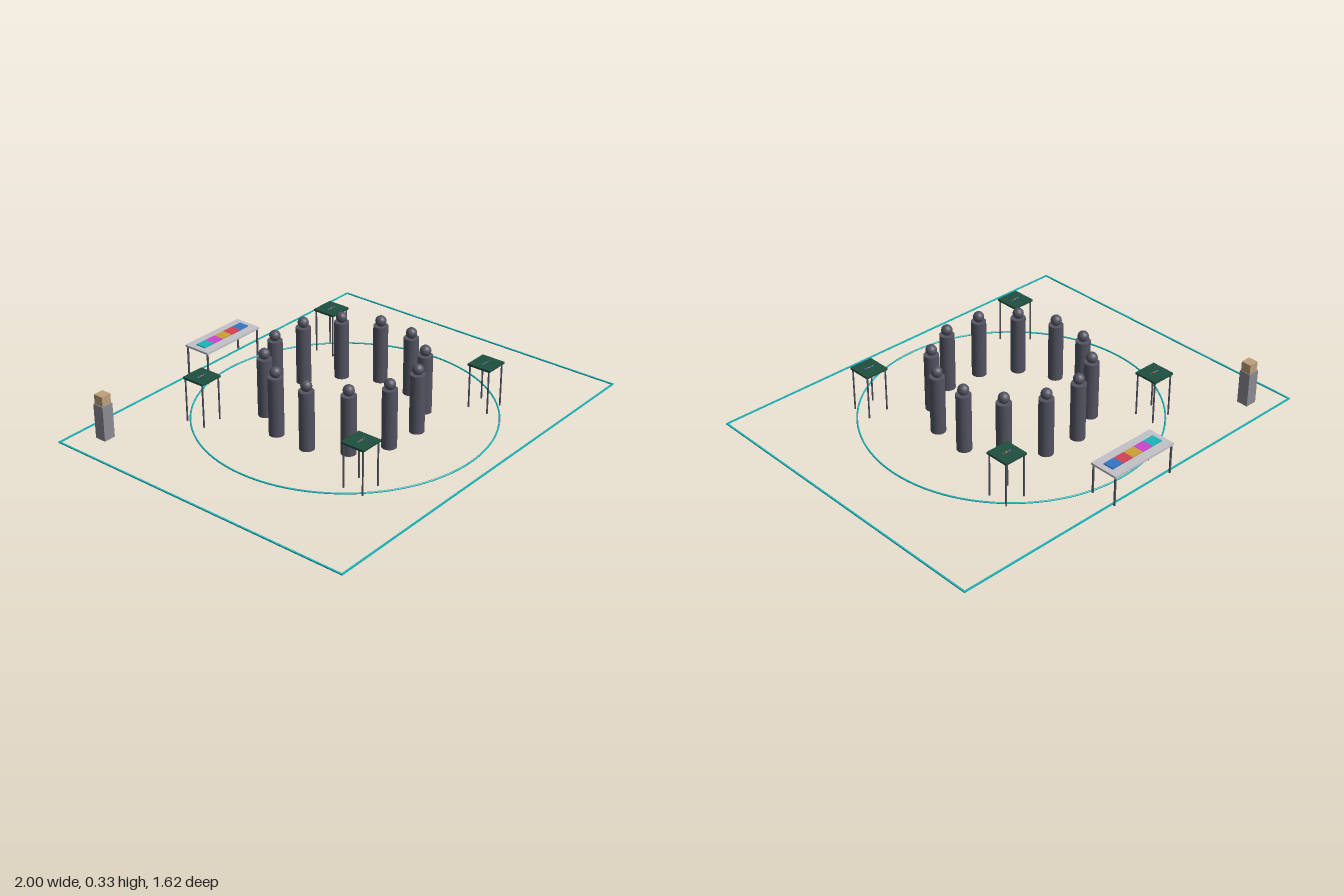
import * as THREE from 'three';

const paint = (name, color) => {
  const m = new THREE.MeshStandardMaterial({ color });
  m.name = name;
  return m;
};

export function createModel() {
  const cyan = paint('cyan', 0x1cb4ba);
  const slate = paint('slate', 0x535362);
  const green = paint('dark green', 0x1f4f3f);
  const lightGrey = paint('light grey', 0xc2c2c8);
  const grey = paint('mid grey', 0x8a8a92);
  const tan = paint('tan', 0xbda07a);
  const magenta = paint('magenta', 0xcc44cc);
  const gold = paint('gold', 0xcca038);
  const red = paint('red', 0xd04455);
  const blue = paint('blue', 0x3474c4);
  const swatches = [cyan, magenta, gold, red, blue];

  const model = new THREE.Group();
  model.name = 'gatheringRoom';
  const cz = 0.008; // middle of the room

  const add = (parent, name, geometry, material, x, y, z) => {
    const mesh = new THREE.Mesh(geometry, material);
    mesh.name = name;
    mesh.position.set(x, y, z);
    parent.add(mesh);
    return mesh;
  };
  const box = (parent, name, material, w, h, d, x, y, z) =>
    add(parent, name, new THREE.BoxGeometry(w, h, d), material, x, y + h / 2, z);
  const group = (name, x, z) => {
    const g = new THREE.Group();
    g.name = name;
    g.position.set(x, 0, z);
    model.add(g);
    return g;
  };

  // Floor outline: rectangular border and ring
  const floor = group('floorOutline', 0, cz);
  for (const s of [-1, 1]) {
    box(floor, 'borderLong', cyan, 2, 0.005, 0.008, 0, 0, s * 0.796);
    box(floor, 'borderShort', cyan, 0.008, 0.005, 1.584, s * 0.996, 0, 0);
  }
  const ring = add(floor, 'floorRing', new THREE.TorusGeometry(0.695, 0.004, 8, 96), cyan, 0, 0.004, 0);
  ring.rotation.x = Math.PI / 2;

  // Circle of standing figures
  const bodyGeometry = new THREE.CylinderGeometry(0.035, 0.035, 0.284, 24);
  const headGeometry = new THREE.SphereGeometry(0.026, 20, 14);
  for (let i = 0; i < 12; i++) {
    const a = 0.32 + (i * Math.PI) / 6;
    const figure = group('figure', 0.357 * Math.cos(a), cz + 0.357 * Math.sin(a));
    add(figure, 'body', bodyGeometry, slate, 0, 0.142, 0);
    add(figure, 'head', headGeometry, slate, 0, 0.307, 0);
  }

  // Table: slab on four thin legs, with a row of coloured tiles
  function table(name, x, z, w, d, top, material, legRadius, tile) {
    const g = group(name, x, z);
    box(g, 'tableTop', material, w, 0.01, d, 0, top - 0.01, 0);
    const leg = new THREE.CylinderGeometry(legRadius, legRadius, top - 0.01, 10);
    for (const sx of [-1, 1])
      for (const sz of [-1, 1])
        add(g, 'leg', leg, slate, sx * (w / 2 - 0.008), (top - 0.01) / 2, sz * (d / 2 - 0.008));
    swatches.forEach((m, i) =>
      box(g, 'tile', m, tile.w, tile.h, tile.d, (i - 2) * tile.step, top, 0));
  }
  for (const sx of [-1, 1])
    for (const sz of [-1, 1])
      table('sideTable', sx * 0.449, cz + sz * 0.45, 0.118, 0.118, 0.221, green, 0.004,
        { w: 0.006, h: 0.003, d: 0.005, step: 0.01 });
  table('displayTable', 0, -0.737, 0.358, 0.142, 0.154, lightGrey, 0.005,
    { w: 0.06, h: 0.005, d: 0.053, step: 0.06 });

  // Pedestal with a box on it
  const stand = group('boxStand', -0.836, -0.668);
  box(stand, 'pedestal', grey, 0.059, 0.169, 0.057, 0, 0, 0);
  box(stand, 'standBox', tan, 0.05, 0.047, 0.05, 0, 0.169, 0);

  return model;
}
